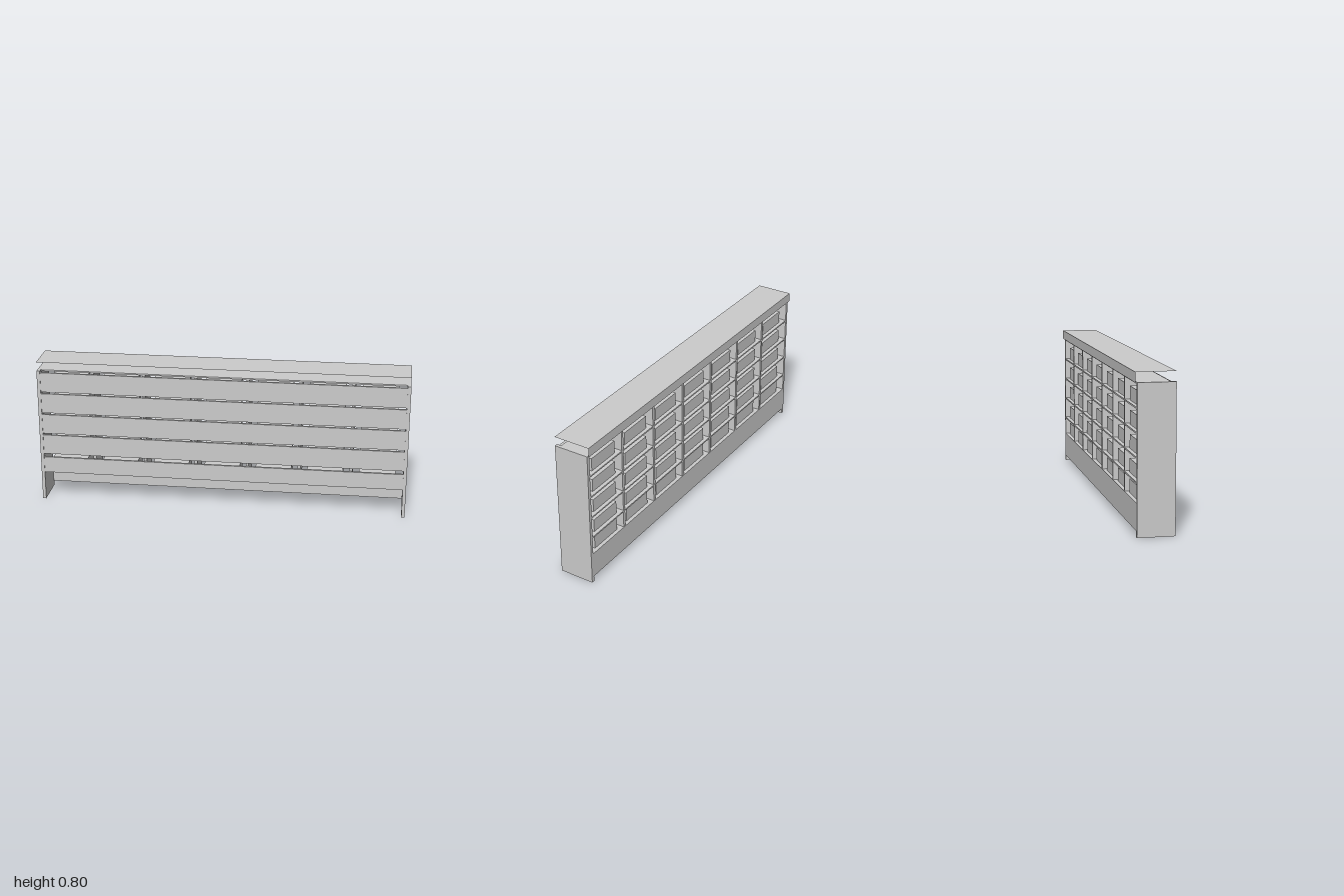
import * as THREE from 'three';

const material = new THREE.MeshStandardMaterial({ color: 0xcccccc, flatShading: true });
const sheet = new THREE.MeshStandardMaterial({ color: 0xcccccc, flatShading: true, side: THREE.DoubleSide });

// Box given by its lower and upper bounds on each axis
function box(parent, name, [x0, x1], [y0, y1], [z0, z1]) {
  const mesh = new THREE.Mesh(new THREE.BoxGeometry(x1 - x0, y1 - y0, z1 - z0), material);
  mesh.position.set((x0 + x1) / 2, (y0 + y1) / 2, (z0 + z1) / 2);
  mesh.name = name;
  parent.add(mesh);
}

export function createModel() {
  const group = new THREE.Group();
  group.name = 'shelfCounter';
  const inner = 0.982;
  const columns = 7;
  const pitch = (2 * inner) / columns;
  const back = -0.09;
  const boardBack = 0.085;

  // Side panels
  for (const s of [-1, 1]) {
    const x = s < 0 ? [-1, -inner] : [inner, 1];
    box(group, s < 0 ? 'rightSidePanel' : 'leftSidePanel', x, [0, 0.75], [back, 0.1]);
  }

  // Thin lid with a band folded down along the back edge
  const lid = new THREE.Mesh(new THREE.PlaneGeometry(2, 0.2), sheet);
  lid.rotation.x = -Math.PI / 2;
  lid.position.y = 0.8;
  lid.name = 'lid';
  const band = new THREE.Mesh(new THREE.PlaneGeometry(2, 0.05), sheet);
  band.rotation.y = Math.PI;
  band.position.set(0, 0.775, -0.1);
  band.name = 'lidBackBand';
  group.add(lid, band);

  // Kick panel low on the back
  box(group, 'kickPanel', [-inner, inner], [0.03, 0.16], [back, back + 0.01]);

  // Front boards, with a narrow gap between rows
  const boards = [[0.16, 0.25], [0.27, 0.38], [0.39, 0.5], [0.51, 0.62], [0.63, 0.74]];
  for (const y of boards) box(group, 'frontBoard', [-inner, inner], y, [boardBack, 0.097]);

  // Shelves, the last one closing the top
  const shelfTops = [0.168, 0.27, 0.39, 0.51, 0.63, 0.75];
  for (const y of shelfTops) box(group, 'shelf', [-inner, inner], [y - 0.008, y], [back, 0.075]);

  // Upright dividers between columns
  for (let c = 1; c < columns; c++) {
    const x = -inner + c * pitch;
    box(group, 'divider', [x - 0.008, x + 0.008], [0.16, 0.742], [back + 0.002, 0.075]);
  }

  // One storage box in each compartment
  for (let r = 0; r < 5; r++) {
    for (let c = 0; c < columns; c++) {
      const x = -inner + (c + 0.5) * pitch;
      box(group, 'storageBox', [x - 0.097, x + 0.097], [shelfTops[r], shelfTops[r] + 0.07], [-0.07, 0.07]);
    }
  }
  return group;
}
